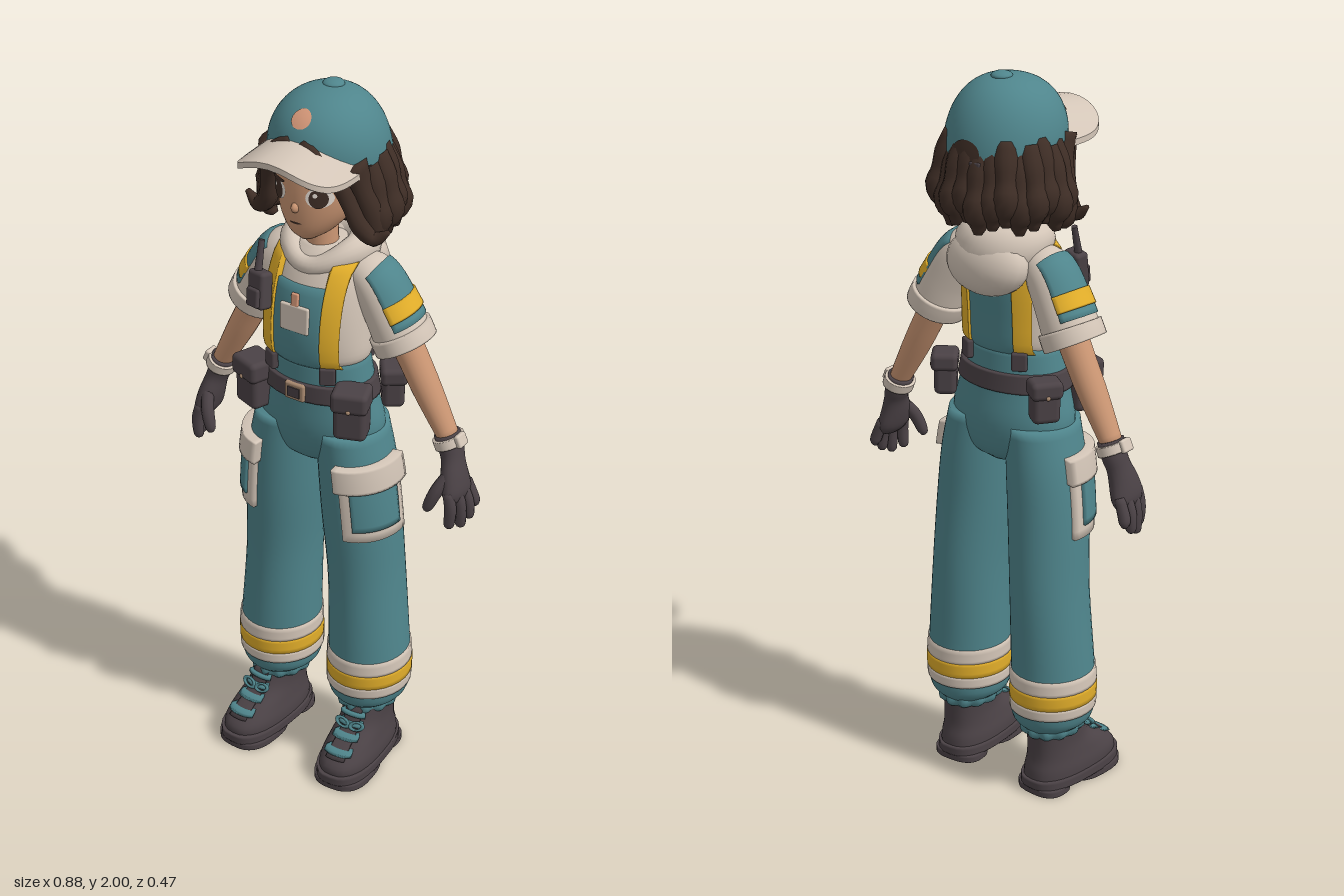
import * as THREE from 'three';
import { mergeVertices } from 'three/addons/utils/BufferGeometryUtils.js';
import { RoundedBoxGeometry } from 'three/addons/geometries/RoundedBoxGeometry.js';

const { PI, sin, cos, abs, sign, acos, min, max, round } = Math;
const V = (x, y, z) => new THREE.Vector3(x, y, z);
const M = {};
for (const [name, color] of Object.entries({
  teal: 0x4f858c, cream: 0xd3c5b7, charcoal: 0x4b4246, hairBrown: 0x3f2e26, yellow: 0xe2ae2a,
  skin: 0xcb9673, peach: 0xdb9c7c, eyeWhite: 0xe6ddd4, buckleTan: 0xa98a70,
})) { M[name] = new THREE.MeshStandardMaterial({ color }); M[name].name = name; }

function add(parent, name, mat, geo, pos = [0, 0, 0], rot = [0, 0, 0], scale = [1, 1, 1]) {
  const m = new THREE.Mesh(geo, mat);
  m.name = name;
  m.position.set(...pos); m.rotation.set(...rot); m.scale.set(...scale);
  parent.add(m);
  return m;
}

// Smooth surface from f(u, v); it faces along dU x dV
function grid(parent, name, mat, nu, nv, f) {
  const p = [], idx = [];
  for (let i = 0; i <= nu; i++) for (let j = 0; j <= nv; j++) p.push(...f(i / nu, j / nv).toArray());
  for (let i = 0; i < nu; i++) for (let j = 0; j < nv; j++) {
    const a = i * (nv + 1) + j, b = a + 1, c = a + nv + 1, d = c + 1;
    idx.push(a, c, b, b, c, d);
  }
  let g = new THREE.BufferGeometry();
  g.setAttribute('position', new THREE.Float32BufferAttribute(p, 3));
  g.setIndex(idx);
  g = mergeVertices(g, 1e-5);
  g.computeVertexNormals();
  return add(parent, name, mat, g);
}

// Elliptical cross-sections [x, y, z, rx, rz]: level rings, or rings that follow the path
function shell(rings, { sweep = false, e = 1 } = {}) {
  const curve = (k) => new THREE.CatmullRomCurve3(rings.map(k), false, 'catmullrom', 0.5);
  const C = curve((r) => V(r[0], r[1], r[2])), R = curve((r) => V(r[3], r[4], 0));
  const pw = (c) => sign(c) * abs(c) ** e;
  const pt = (u, a, off = 0) => {
    const t = sweep ? C.getTangent(u) : V(0, 1, 0), r = R.getPoint(u);
    const b = V(0, 0, 1).addScaledVector(t, -t.z).normalize(), n = t.clone().cross(b);
    return C.getPoint(u).addScaledVector(n, (r.x + off) * pw(cos(a))).addScaledVector(b, (r.y + off) * pw(sin(a)));
  };
  const up = rings[rings.length - 1][1] > rings[0][1];
  const uAt = (y) => {
    let lo = 0, hi = 1;
    for (let i = 0; i < 24; i++) {
      const m = (lo + hi) / 2;
      if ((C.getPoint(m).y < y) === up) lo = m; else hi = m;
    }
    return lo;
  };
  return { C, R, pt, uAt };
}
function body(parent, name, mat, s, nu = 20, nv = 28) {
  const n = nu + 2;
  return grid(parent, name, mat, n, nv, (u, v) => {
    const k = round(u * n);
    return k === 0 ? s.C.getPoint(0) : k === n ? s.C.getPoint(1) : s.pt((k - 1) / nu, v * 2 * PI);
  });
}
const limb = (parent, name, mat, rings, nu = 14, nv = 12) => body(parent, name, mat, shell(rings, { sweep: true }), nu, nv);

// Raised panel on a shell; the angle is set by a range or by an x range
const arc = (a0, a1) => (s, u, v) => a0 + (a1 - a0) * v;
const xs = (x0, x1, back) => (s, u, v) => {
  const w = (x) => acos(max(-1, min(1, x / s.R.getPoint(u).x)));
  return back ? -w(x0 + (x1 - x0) * v) : w(x1 + (x0 - x1) * v);
};
function panel(parent, name, mat, s, y0, y1, ang, off, closed = false, nu = 12, nv = 16) {
  const ua = s.uAt(y0), ub = s.uAt(y1), lo = min(ua, ub), hi = max(ua, ub);
  if (closed) nv = 32;
  return grid(parent, name, mat, nu, nv, (u, v) => {
    const i = round(u * nu), j = round(v * nv);
    const edge = i === 0 || i === nu || (!closed && (j === 0 || j === nv));
    const cu = max(0, min(1, (i - 1) / (nu - 2))), cv = closed ? v : max(0, min(1, (j - 1) / (nv - 2)));
    const w = lo + (hi - lo) * cu;
    return s.pt(w, ang(s, w, cv), edge ? -0.004 : off);
  });
}
// Thin oval laid on the front of a shell
const decal = (parent, name, mat, s, x, y, rx, ry, off, tilt = 0) => grid(parent, name, mat, 3, 20, (u, v) => {
  const dx = rx * u * cos(v * 2 * PI), dy = ry * u * sin(v * 2 * PI), w = s.uAt(y + dy + tilt * dx);
  return s.pt(w, acos((x + dx) / s.R.getPoint(w).x), off);
});

// Baked copy on the other side of x = 0
function mirrored(src) {
  const out = new THREE.Group();
  out.name = src.name.replace('left', 'right');
  src.updateMatrixWorld(true);
  src.traverse((m) => {
    if (!m.isMesh) return;
    let g = m.geometry.clone().applyMatrix4(m.matrixWorld).applyMatrix4(new THREE.Matrix4().makeScale(-1, 1, 1));
    if (!g.index) g = mergeVertices(g);
    const ix = g.index.array;
    for (let i = 0; i < ix.length; i += 3) [ix[i], ix[i + 1]] = [ix[i + 1], ix[i]];
    add(out, m.name, m.material, g);
  });
  return out;
}
const ball = () => new THREE.SphereGeometry(1, 20, 14);

function buildHead(g) {
  const head = shell([[0, 1.612, .045, .022, .035], [0, 1.64, .03, .06, .076], [0, 1.69, .01, .095, .106], [0, 1.76, 0, .11, .117], [0, 1.86, -.01, .113, .118]]);
  body(g, 'head', M.skin, head, 20, 36);
  add(g, 'nose', M.skin, ball(), [0, 1.714, .113], [0, 0, 0], [.011, .014, .016]);
  add(g, 'neck', M.skin, new THREE.CylinderGeometry(.04, .045, .14, 20), [0, 1.58, -.005]);
  decal(g, 'mouth', M.hairBrown, head, 0, 1.672, .017, .003, .002);
  for (const s of [-1, 1]) {
    decal(g, 'eyeWhite', M.eyeWhite, head, s * .058, 1.748, .029, .027, .002);
    decal(g, 'iris', M.hairBrown, head, s * .057, 1.747, .02, .026, .004);
    decal(g, 'eyeGlint', M.eyeWhite, head, s * .057 - .006, 1.757, .005, .006, .006);
    decal(g, 'upperLash', M.hairBrown, head, s * .06, 1.774, .031, .006, .005, -s * .12);
    decal(g, 'eyebrow', M.hairBrown, head, s * .058, 1.808, .026, .005, .003, -s * .15);
    add(g, 'ear', M.skin, ball(), [s * .112, 1.735, -.005], [0, 0, 0], [.018, .034, .024]);
  }
  // Bob of wavy locks
  body(g, 'hairMass', M.hairBrown, shell([[0, 1.63, -.09, .09, .07], [0, 1.67, -.085, .145, .105], [0, 1.75, -.07, .15, .12], [0, 1.86, -.045, .142, .145]]));
  for (let i = 0; i < 17; i++) {
    const a = .18 - (i / 16) * (PI + .36), k = 1 + .05 * (i % 2), c = cos(a), d = sin(a);
    const at = (r, y, w) => [c * r * k, y + .012 * (i % 3), -.04 + d * r * .95 * k, w, w];
    limb(g, 'hairLock', M.hairBrown, [at(.125, 1.82, .03), at(.145, 1.77, .034), at(.16, 1.725, .028), at(.168, 1.685, .036), at(.155, 1.645, .029), at(.16, 1.612, .011)]);
  }
  for (const s of [-1, 1]) {
    limb(g, 'fringe', M.hairBrown, [[s * .015, 1.885, .1, .02, .02], [s * .06, 1.85, .112, .027, .016], [s * .1, 1.80, .085, .023, .02], [s * .122, 1.73, .055, .018, .026], [s * .14, 1.67, .035, .026, .028], [s * .175, 1.64, .025, .02, .022], [s * .212, 1.665, .02, .006, .008]], 24);
    limb(g, 'sideHair', M.hairBrown, [[s * .125, 1.84, .04, .025, .04], [s * .135, 1.77, .02, .024, .034], [s * .155, 1.69, 0, .034, .036], [s * .16, 1.63, 0, .025, .028], [s * .14, 1.61, 0, .008, .01]]);
  }
}

function buildCap(g) {
  const cap = (phi, a, k = 1) => {
    const yb = 1.815 + .035 * sin(a), r = sin(phi) ** .85 * k;
    return V(.155 * r * cos(a), yb + (1.985 - yb) * cos(phi) * k, -.04 + .163 * r * sin(a));
  };
  grid(g, 'capDome', M.teal, 18, 48, (u, v) => cap((1 - u) * PI / 2, v * 2 * PI));
  grid(g, 'capSweatband', M.charcoal, 2, 48, (u, v) => cap(PI / 2, -v * 2 * PI, 1 - .12 * (1 - u)).add(V(0, -.004, 0)));
  add(g, 'capButton', M.teal, ball(), [0, 1.983, -.055], [0, 0, 0], [.028, .012, .028]);
  grid(g, 'capBadge', M.peach, 4, 24, (u, v) => cap(.83 - .2 * u * sin(v * 2 * PI), PI / 2 - .22 * u * cos(v * 2 * PI), 1.015));
  const backSpot = (rx, ry, k) => (u, v) => cap(1.4 - ry * u * sin(v * 2 * PI), -PI / 2 - rx * u * -cos(v * 2 * PI) * -1, k);
  grid(g, 'capBackOpening', M.hairBrown, 4, 20, backSpot(.28, .17, 1.015));
  add(g, 'capBackStrap', M.charcoal, new RoundedBoxGeometry(.1, .02, .012, 2, .004), [0, 1.79, -.2]);
  // Curved visor: top, underside and rim
  const visor = (t, u, drop) => {
    const th = t * PI / 2, x0 = .135 * sin(th), z0 = -.02 + .125 * cos(th);
    const x1 = .148 * sign(th) * abs(sin(th)) ** .65, z1 = .03 + .198 * max(0, cos(th)) ** .6;
    const x = x0 + (x1 - x0) * u, z = z0 + (z1 - z0) * u;
    return V(x, 1.893 - .016 * u * cos(th) - .072 * (x / .148) ** 2 - drop, z);
  };
  grid(g, 'visorTop', M.cream, 8, 40, (u, v) => visor(1 - 2 * v, u, 0).add(V(0, 0, 0)));
  grid(g, 'visorUnderside', M.charcoal, 8, 40, (u, v) => visor(2 * v - 1, u, .016));
  grid(g, 'visorRim', M.cream, 1, 40, (u, v) => visor(1 - 2 * v, 1, .016 * u));
  for (const m of g.children) if (m.name === 'visorTop' || m.name === 'visorRim') {
    // Turn the faces so that the top looks up and the rim looks out
    m.geometry.computeVertexNormals();
    const n = m.geometry.attributes.normal, p = m.geometry.attributes.position;
    let s = 0;
    for (let i = 0; i < n.count; i++) s += m.name === 'visorTop' ? n.getY(i) : n.getZ(i) * p.getZ(i);
    if (s < 0) { m.geometry.index.array.reverse(); m.geometry.computeVertexNormals(); }
  }
  const under = g.children.find((m) => m.name === 'visorUnderside').geometry;
  if (under.attributes.normal.getY(100) > 0) { under.index.array.reverse(); under.computeVertexNormals(); }
}

function buildTorso(g) {
  const torso = shell([[0, 1.265, .005, .13, .098], [0, 1.29, .008, .147, .108], [0, 1.36, .008, .145, .112], [0, 1.44, 0, .14, .11], [0, 1.5, -.01, .132, .1], [0, 1.55, -.02, .11, .085], [0, 1.58, -.02, .06, .055]]);
  body(g, 'shirt', M.cream, torso, 24, 40);
  const hips = shell([[0, .955, -.01, .06, .07], [0, .99, -.01, .15, .105], [0, 1.07, -.006, .182, .12], [0, 1.17, 0, .158, .112], [0, 1.28, .004, .138, .106]]);
  body(g, 'hips', M.teal, hips, 20, 40);
  panel(g, 'belt', M.charcoal, hips, 1.165, 1.215, arc(0, 2 * PI), .01, true);
  add(g, 'buckle', M.buckleTan, new RoundedBoxGeometry(.06, .05, .016, 2, .006), [0, 1.19, .121]);
  add(g, 'buckleCentre', M.charcoal, new THREE.BoxGeometry(.036, .028, .006), [0, 1.19, .129]);
  panel(g, 'bib', M.teal, torso, 1.26, 1.49, xs(-.07, .07), .009);
  panel(g, 'backPanel', M.teal, torso, 1.26, 1.48, xs(-.075, .075, true), .009);
  for (const s of [-1, 1]) for (const back of [false, true]) {
    const x = s * .086;
    panel(g, 'strap', M.yellow, torso, 1.27, 1.55, xs(x - .02, x + .02, back), .015);
    add(g, 'strapClip', M.charcoal, new RoundedBoxGeometry(.042, .05, .02, 2, .006), [x, 1.252, back ? -.092 : .101], [0, s * (back ? -.5 : .5), 0]);
  }
  add(g, 'nameCard', M.cream, new RoundedBoxGeometry(.086, .075, .012, 2, .005), [0, 1.405, .122], [-.04, 0, 0]);
  add(g, 'cardClip', M.peach, new RoundedBoxGeometry(.022, .04, .01, 2, .004), [0, 1.455, .119], [-.1, 0, 0]);
  // Hood folded around the neck
  grid(g, 'hoodRoll', M.cream, 16, 48, (u, v) => {
    const a = v * 2 * PI, b = u * 2 * PI, k = (1 - sin(a)) / 2, rh = .026 + .026 * k, rv = .026 + .045 * k;
    const y = 1.565 - .035 * max(0, sin(a)) ** 3 - .025 * k * k;
    return V(cos(a) * (.09 + rh * cos(b)), y + rv * sin(b), -.03 + sin(a) * (.09 + rh * cos(b)));
  });
  add(g, 'hoodBag', M.cream, ball(), [0, 1.51, -.115], [.25, 0, 0], [.125, .085, .066]);
  // Radio on the right strap
  add(g, 'radio', M.charcoal, new RoundedBoxGeometry(.06, .1, .04, 3, .01), [-.108, 1.455, .118], [-.15, -.3, .05]);
  add(g, 'radioAntenna', M.charcoal, new THREE.CylinderGeometry(.008, .011, .09, 10), [-.12, 1.535, .1], [-.3, 0, .05]);
  add(g, 'radioGrip', M.charcoal, new RoundedBoxGeometry(.045, .05, .016, 2, .006), [-.112, 1.44, .142], [-.15, -.3, .05]);
}

function buildArm(g) {
  const sleeve = shell([[.09, 1.52, -.03, .045, .055], [.14, 1.49, -.035, .062, .072], [.185, 1.415, -.04, .068, .078], [.215, 1.355, -.044, .073, .08], [.23, 1.325, -.045, .073, .08]], { sweep: true });
  body(g, 'sleeve', M.cream, sleeve);
  panel(g, 'sleeveHem', M.cream, sleeve, 1.365, 1.325, arc(0, 2 * PI), .008, true);
  panel(g, 'sleevePatch', M.teal, sleeve, 1.5, 1.378, arc(PI - 1.05, PI + 1.05), .005);
  panel(g, 'sleeveStripe', M.yellow, sleeve, 1.438, 1.398, arc(PI - 1.05, PI + 1.05), .009);
  limb(g, 'arm', M.skin, [[.19, 1.4, -.045, .043, .044], [.25, 1.285, -.05, .04, .042], [.295, 1.2, -.052, .037, .04], [.36, 1.08, -.055, .027, .031]], 16, 20);
  limb(g, 'glove', M.charcoal, [[.352, 1.095, -.055, .034, .038], [.366, 1.055, -.055, .032, .037], [.376, 1.025, -.05, .029, .037], [.386, .985, -.042, .031, .048], [.396, .945, -.038, .029, .056], [.402, .92, -.036, .018, .045]], 18, 20);
  const band = shell([[.35, 1.098, -.055, .037, .041], [.366, 1.06, -.055, .037, .041]], { sweep: true });
  panel(g, 'wristBand', M.cream, band, 1.087, 1.063, arc(0, 2 * PI), .004, true);
  add(g, 'wristPlate', M.cream, new RoundedBoxGeometry(.016, .035, .04, 2, .006), [.397, 1.09, -.05], [0, 0, .42]);
  for (const [x, y, z, kx, kz] of [[.402, .85, .005, .395, .005], [.417, .843, -.027, .402, -.025], [.424, .856, -.058, .404, -.054], [.424, .88, -.086, .402, -.08]])
    limb(g, 'finger', M.charcoal, [[kx, .955, kz, .014, .014], [(kx + x) / 2 + .006, .91, (kz + z) / 2, .016, .016], [x, y + .012, z, .0145, .0145], [x, y, z, .007, .007]], 10, 10);
  limb(g, 'thumb', M.charcoal, [[.385, 1.0, -.02, .017, .017], [.365, .955, .012, .018, .018], [.348, .91, .024, .015, .015], [.344, .895, .025, .007, .007]], 10, 10);
}

function buildLeg(g) {
  const leg = shell([[.145, .19, -.02, .076, .088], [.145, .225, -.02, .108, .115], [.147, .3, -.02, .113, .12], [.145, .38, -.02, .11, .118], [.134, .6, -.022, .102, .116], [.122, .8, -.012, .104, .117], [.11, .95, -.008, .1, .117], [.095, 1.07, -.005, .09, .112]]);
  body(g, 'trouserLeg', M.teal, leg, 32, 36);
  for (const [name, mat, y0, y1] of [['lowerBand', M.cream, .25, .282], ['middleBand', M.yellow, .282, .325], ['upperBand', M.cream, .325, .366]])
    panel(g, name, mat, leg, y0, y1, arc(0, 2 * PI), .004, true, 6);
  grid(g, 'gatheredCuff', M.teal, 10, 72, (u, v) => {
    const a = v * 2 * PI, b = u * 2 * PI, k = 1 + .05 * cos(12 * a);
    return V(.145 + cos(a) * k * (.066 + .018 * cos(b)), .193 + .024 * sin(b), -.02 + sin(a) * k * (.078 + .018 * cos(b)));
  });
  // Cargo pocket
  panel(g, 'pocketEdge', M.cream, leg, .77, .96, arc(-.25, 1.4), .012);
  panel(g, 'pocketFront', M.teal, leg, .805, .945, arc(0, 1.15), .018);
  panel(g, 'pocketFlap', M.cream, leg, .925, .995, arc(-.32, 1.47), .026);
  // Belt pouches
  for (const [name, w, h, d, x, y, z, r] of [['frontPouch', .088, .14, .075, .15, 1.16, .085, .35], ['backPouch', .075, .115, .06, .165, 1.165, -.088, 2.2]]) {
    const p = new THREE.Group();
    p.name = name; p.position.set(x, y, z); p.rotation.y = r;
    add(p, name + 'Body', M.charcoal, new RoundedBoxGeometry(w, h, d, 3, .016), [0, 0, 0]);
    add(p, name + 'Flap', M.charcoal, new RoundedBoxGeometry(w + .01, h * .42, d + .012, 3, .014), [0, h * .3, .002]);
    add(p, name + 'Stud', M.buckleTan, ball(), [0, h * .16, d / 2 + .008], [0, 0, 0], [.006, .006, .004]);
    g.add(p);
  }
  // Boot
  const b = new THREE.Group();
  b.name = 'boot'; b.position.set(.152, 0, 0); b.rotation.y = .07;
  const boot = shell([[0, .03, .045, .077, .158], [0, .065, .045, .076, .155], [0, .1, .028, .068, .13], [0, .14, -.004, .061, .096], [0, .2, -.02, .062, .08]], { e: .82 });
  body(b, 'bootUpper', M.charcoal, boot, 16, 32);
  for (const [name, y0, y1, z, rx, rz] of [['sole', .018, .045, .047, .081, .164], ['soleFront', 0, .02, .108, .08, .1], ['heel', 0, .02, -.058, .072, .056]])
    body(b, name, M.charcoal, shell([[0, y0, z, rx, rz], [0, y1, z, rx, rz]], { e: .75 }), 4, 32);
  panel(b, 'bootTongue', M.charcoal, boot, .085, .195, arc(PI / 2 - .3, PI / 2 + .3), .008);
  for (const y of [.1, .125, .15, .175]) panel(b, 'lace', M.teal, boot, y - .005, y + .005, arc(PI / 2 - .45, PI / 2 + .45), .015, false, 4);
  for (const s of [-1, 1]) add(b, 'laceBow', M.teal, new THREE.TorusGeometry(.016, .005, 8, 16), [s * .022, .15, .098], [-.5, 0, s * .3], [1.2, .7, 1]);
  g.add(b);
}

export function createModel() {
  const model = new THREE.Group();
  model.name = 'youngWorker';
  for (const [name, build] of [['head', buildHead], ['cap', buildCap], ['torso', buildTorso], ['leftArm', buildArm], ['leftLeg', buildLeg]]) {
    const g = new THREE.Group();
    g.name = name;
    build(g);
    model.add(g);
    if (name.startsWith('left')) model.add(mirrored(g));
  }
  return model;
}
